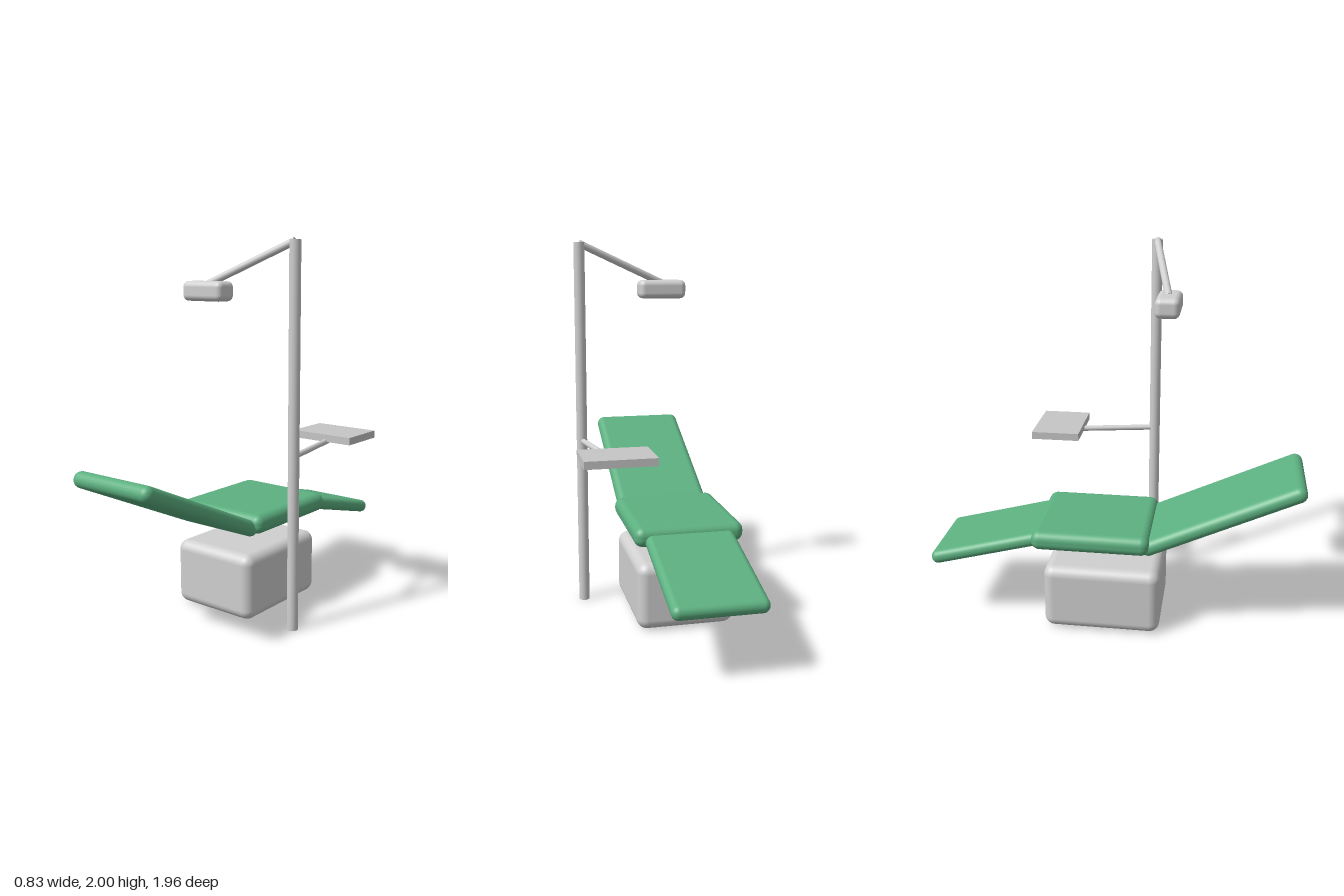
import * as THREE from 'three';
import { RoundedBoxGeometry } from 'three/addons/geometries/RoundedBoxGeometry.js';

const material = (name, color) => {
  const m = new THREE.MeshStandardMaterial({ color });
  m.name = name;
  return m;
};

export function createModel() {
  const group = new THREE.Group();
  const green = material('green upholstery', 0x5cb080);
  const grey = material('light grey enamel', 0xd0d0d0);
  const trayGrey = material('tray grey', 0xc6c6c6);

  const add = (name, geometry, mat, position, tilt = 0) => {
    const mesh = new THREE.Mesh(geometry, mat);
    mesh.name = name;
    mesh.position.set(...position);
    mesh.rotation.x = tilt;
    group.add(mesh);
    return mesh;
  };
  const rounded = (w, h, d, r) => new RoundedBoxGeometry(w, h, d, 5, r);

  // Round rod between two points
  const rod = (name, from, to, radius) => {
    const a = new THREE.Vector3(...from), b = new THREE.Vector3(...to);
    const dir = b.clone().sub(a);
    const geometry = new THREE.CylinderGeometry(radius, radius, dir.length(), 24);
    const mesh = add(name, geometry, grey, a.add(b).multiplyScalar(0.5).toArray());
    mesh.quaternion.setFromUnitVectors(new THREE.Vector3(0, 1, 0), dir.normalize());
  };

  // Pedestal and the three cushions
  const cx = -0.132;
  const deg = THREE.MathUtils.degToRad;
  add('base', rounded(0.515, 0.36, 0.62, 0.055), grey, [cx, 0.185, -0.05]);
  add('seat', rounded(0.57, 0.103, 0.62, 0.045), green, [cx, 0.527, -0.105]);
  add('backrest', rounded(0.515, 0.083, 0.9, 0.04), green, [cx, 0.68, 0.569], deg(-25));
  add('legRest', rounded(0.465, 0.073, 0.64, 0.035), green, [cx, 0.437, -0.67], deg(-15));

  // Pole with lamp
  rod('pole', [0.336, 0, 0.158], [0.336, 1.984, 0.158], 0.029);
  rod('lampArm', [0.336, 1.978, 0.158], [-0.13, 1.77, 0.26], 0.019);
  add('lamp', rounded(0.258, 0.1, 0.123, 0.03), grey, [-0.131, 1.734, 0.262]);

  // Instrument tray on its arm
  rod('trayArm', [0.336, 0.921, 0.158], [0.237, 0.921, -0.362], 0.015);
  add('tray', new THREE.BoxGeometry(0.365, 0.04, 0.26), trayGrey, [0.234, 0.942, -0.366]);

  return group;
}
